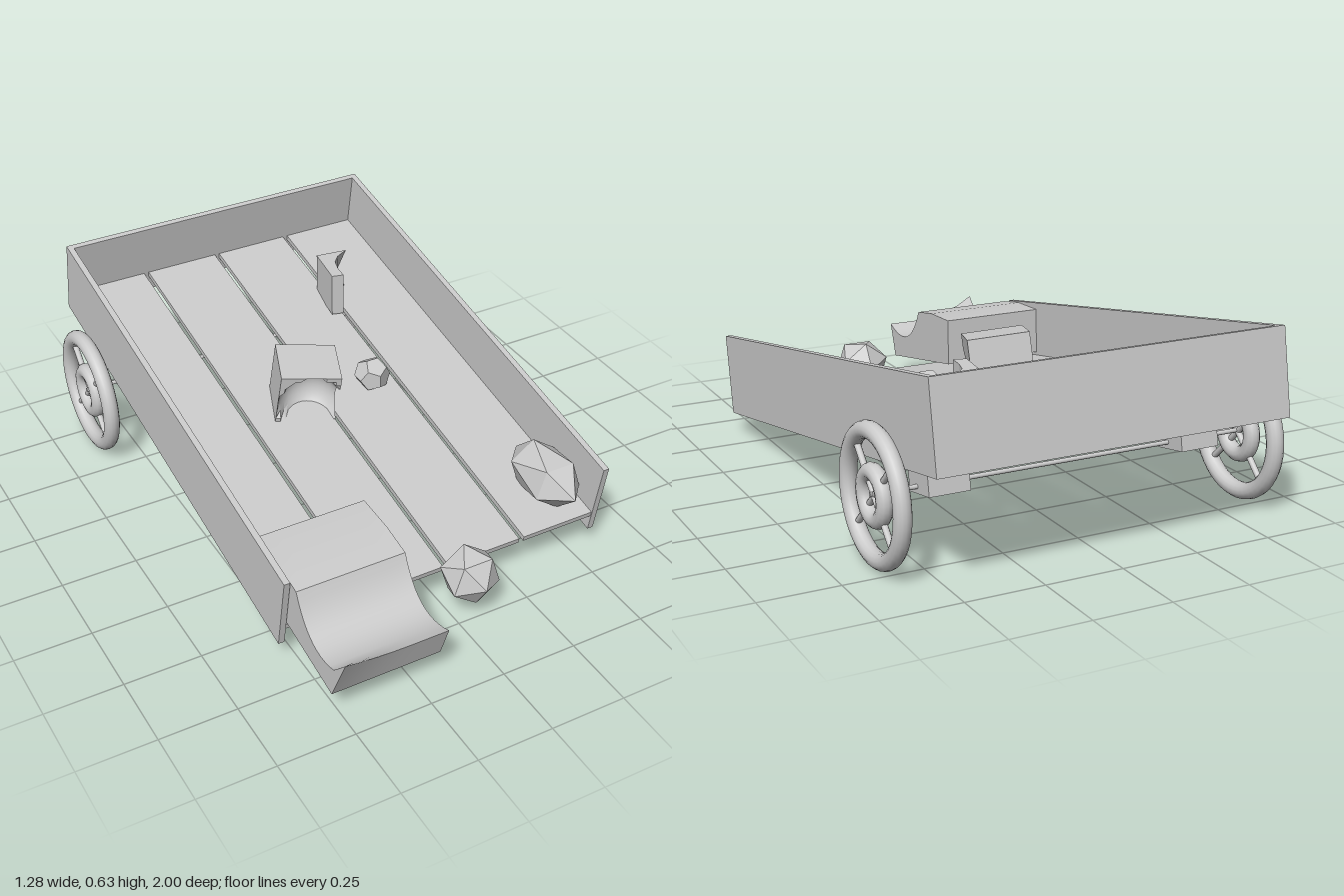
import * as THREE from 'three';
import { toCreasedNormals } from 'three/addons/utils/BufferGeometryUtils.js';

const smooth = new THREE.MeshStandardMaterial({ color: 0xcccccc, side: THREE.DoubleSide });
const faceted = new THREE.MeshStandardMaterial({ color: 0xcccccc, flatShading: true, side: THREE.DoubleSide });

function add(parent, name, geometry, x = 0, y = 0, z = 0, material = faceted) {
  const mesh = new THREE.Mesh(geometry, material);
  mesh.name = name;
  mesh.position.set(x, y, z);
  parent.add(mesh);
  return mesh;
}

// Extrude an outline given as [z, y] pairs along x
function extrudeX(points, x0, x1, steps = 1) {
  const shape = new THREE.Shape(points.map(([z, y]) => new THREE.Vector2(-z, y)));
  return new THREE.ExtrudeGeometry(shape, { depth: x1 - x0, steps, bevelEnabled: false })
    .rotateY(Math.PI / 2).translate(x0, 0, 0);
}

// Icosahedron with a corner pointing along z
const gem = (r) => new THREE.IcosahedronGeometry(r, 0).rotateX(Math.atan2(2, 1 + Math.sqrt(5)));

function makeWheel() {
  const wheel = new THREE.Group();
  wheel.name = 'wheel';
  const rim = new THREE.TorusGeometry(0.187, 0.027, 14, 48).rotateY(Math.PI / 2);
  const hub = new THREE.TorusGeometry(0.07, 0.026, 12, 32).rotateY(Math.PI / 2);
  add(wheel, 'rim', rim, 0, 0, 0, smooth);
  add(wheel, 'hub', hub, 0, 0, 0, smooth);
  for (const side of [-1, 1]) {
    const spoke = new THREE.CylinderGeometry(0.01, 0.01, 0.37, 10);
    add(wheel, 'spoke', spoke, 0, 0, 0, smooth).rotation.x = side * Math.PI / 4;
  }
  return wheel;
}

function makeBed() {
  const bed = new THREE.Group();
  bed.name = 'cartBed';
  bed.position.set(0, 0.35, -0.16);
  bed.rotation.x = 0.179;
  // Four floor planks with narrow gaps
  for (let i = 0; i < 4; i++) {
    add(bed, 'floorPlank', new THREE.BoxGeometry(0.262, 0.018, 1.64), -0.406 + i * 0.2795, -0.068, 0.005);
  }
  // Side boards and tailboard
  for (const x of [-0.547, 0.57]) add(bed, 'sideBoard', new THREE.BoxGeometry(0.02, 0.27, 1.656), x);
  add(bed, 'backBoard', new THREE.BoxGeometry(1.13, 0.27, 0.02), 0.0115, 0, -0.818);
  return bed;
}

// Block with a concave trough, one corner of its lip drawn up
function makeTrough() {
  const profile = [[0.92, 0.105], [0.46, 0.19], [0.465, 0.35], [0.6, 0.345], [0.71, 0.325]];
  const hollow = new THREE.QuadraticBezierCurve(
    new THREE.Vector2(0.71, 0.325), new THREE.Vector2(0.79, 0.14), new THREE.Vector2(0.96, 0.22));
  hollow.getPoints(12).slice(1).forEach((p) => profile.push([p.x, p.y]));
  const geo = extrudeX(profile, -0.535, -0.175, 6);
  const pos = geo.attributes.position;
  for (let i = 0; i < pos.count; i++) {
    const lift = Math.max(0, (-0.29 - pos.getX(i)) / 0.245) ** 2;
    if (pos.getZ(i) > 0.94) {
      pos.setZ(i, pos.getZ(i) + 0.04 * lift);
      pos.setY(i, pos.getY(i) + 0.06 * lift);
    }
  }
  return toCreasedNormals(geo, 0.6);
}

// Block whose front is hollowed into a bowl
function makeBowl() {
  const geo = new THREE.BoxGeometry(0.2, 0.19, 0.17, 12, 12, 1);
  const pos = geo.attributes.position;
  for (let i = 0; i < pos.count; i++) {
    if (pos.getZ(i) < 0) continue;
    const d = Math.hypot(pos.getX(i) - 0.01, pos.getY(i) + 0.02) / 0.105;
    pos.setZ(i, 0.085 - 0.12 * Math.sqrt(Math.max(0, 1 - d * d)));
  }
  return toCreasedNormals(geo, 0.6);
}

// Curved corner fragment with a notch in its free edge
function makeShard() {
  const plan = [[0.24, -0.5], [0.262, -0.655], [0.372, -0.64], [0.325, -0.615],
    [0.298, -0.585], [0.285, -0.54], [0.28, -0.49]];
  const shape = new THREE.Shape(plan.map(([x, z]) => new THREE.Vector2(x, -z)));
  const geo = new THREE.ExtrudeGeometry(shape, { depth: 0.155, steps: 2, bevelEnabled: false })
    .rotateX(-Math.PI / 2).translate(0, 0.362, 0);
  const pos = geo.attributes.position;
  for (let i = 0; i < pos.count; i++) {
    if (pos.getX(i) > 0.36 && Math.abs(pos.getY(i) - 0.4395) < 0.01) pos.setX(i, 0.332);
  }
  geo.computeVertexNormals();
  return geo;
}

export function createModel() {
  const model = new THREE.Group();
  model.name = 'tippedCart';
  model.add(makeBed());

  // Running gear
  const axle = new THREE.CylinderGeometry(0.007, 0.007, 1.26, 10).rotateZ(Math.PI / 2);
  add(model, 'axle', axle, 0, 0.22, -0.675, smooth);
  for (const side of [-1, 1]) {
    const wheel = makeWheel();
    wheel.position.set(side * 0.616, 0.215, -0.675);
    model.add(wheel);
    add(model, 'axleBlock', new THREE.BoxGeometry(0.13, 0.17, 0.13), side * 0.42, 0.285, -0.675).rotation.x = 0.179;
  }

  // Loose cargo and rubble
  add(model, 'troughBlock', makeTrough(), 0, 0, 0, smooth);
  const bowl = add(model, 'bowlBlock', makeBowl(), -0.055, 0.375, -0.145, smooth);
  bowl.rotation.set(0.15, -0.35, -0.06);
  add(model, 'cornerShard', makeShard());
  add(model, 'smallStone', new THREE.DodecahedronGeometry(0.061, 0), 0.205, 0.325, -0.153);
  add(model, 'frontStone', gem(0.095), 0.053, 0.155, 0.717);
  add(model, 'longStone', gem(0.096).scale(1, 1, 1.74), 0.473, 0.237, 0.497);
  return model;
}
